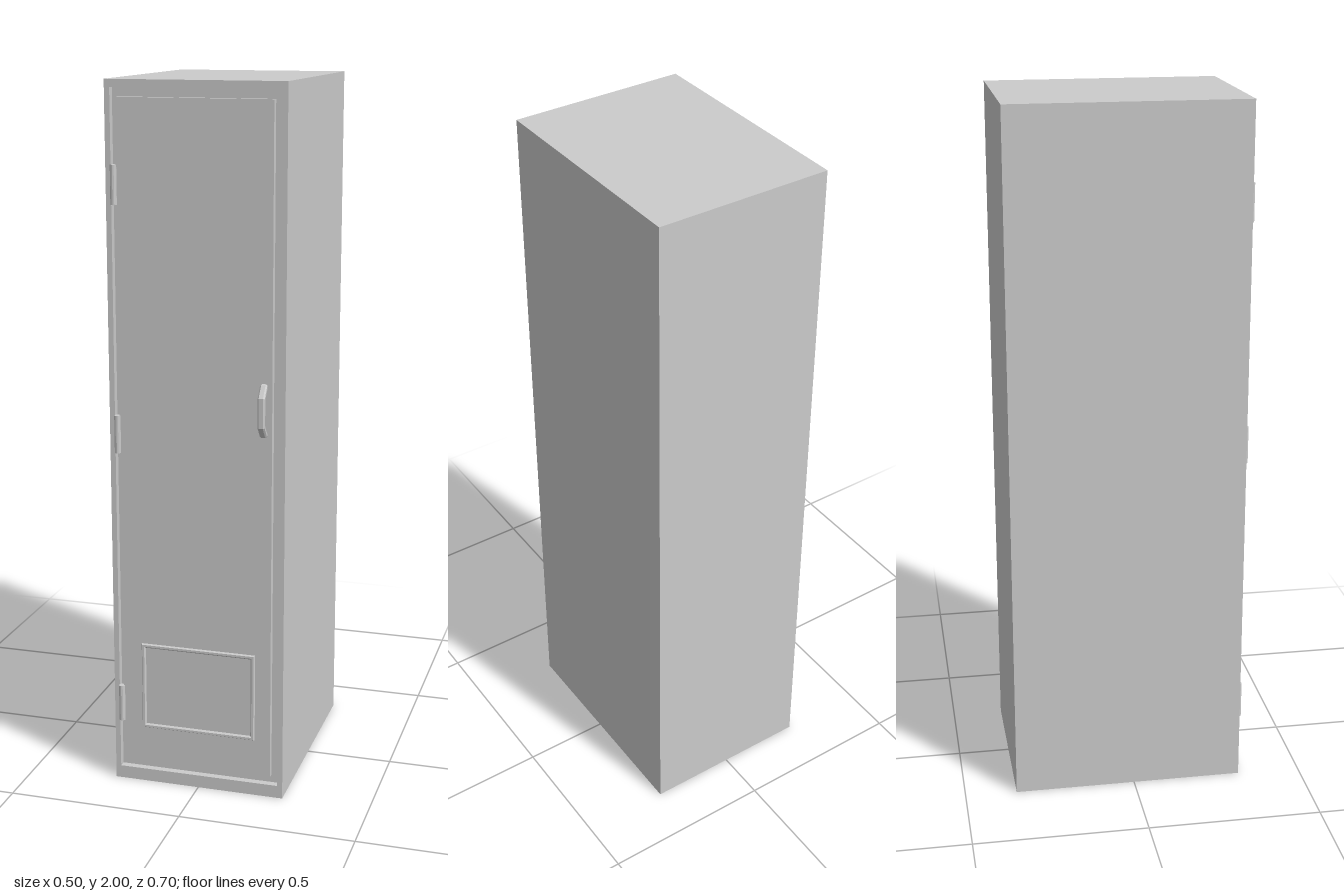
import * as THREE from 'three';

const material = new THREE.MeshStandardMaterial({ color: 0xcccccc, flatShading: true });
const FRONT = 0.317;

function part(name, geometry, parent) {
  const mesh = new THREE.Mesh(geometry, material);
  mesh.name = name;
  parent.add(mesh);
  return mesh;
}

// Joins rectangular rings [x0, x1, y0, y1, z] in order, optionally closing the ends
function rectLoft(rings, capStart, capEnd) {
  const loops = rings.map(([x0, x1, y0, y1, z]) => [[x0, y0, z], [x1, y0, z], [x1, y1, z], [x0, y1, z]]);
  const pos = [];
  const quad = (a, b, c, d) => pos.push(...a, ...b, ...c, ...a, ...c, ...d);
  for (let i = 0; i + 1 < loops.length; i++) {
    const p = loops[i], q = loops[i + 1];
    for (let k = 0; k < 4; k++) {
      const n = (k + 1) % 4;
      quad(p[k], p[n], q[n], q[k]);
    }
  }
  if (capStart) quad(...[...loops[0]].reverse());
  if (capEnd) quad(...loops[loops.length - 1]);
  const geometry = new THREE.BufferGeometry();
  geometry.setAttribute('position', new THREE.Float32BufferAttribute(pos, 3));
  geometry.computeVertexNormals();
  return geometry;
}

export function createModel() {
  const locker = new THREE.Group();
  locker.name = 'locker';

  // Cabinet shell with a shallow recess for the door
  const recess = FRONT - 0.02;
  part('cabinet', rectLoft([
    [-0.25, 0.25, 0, 2, -0.35],
    [-0.25, 0.25, 0, 2, FRONT],
    [-0.235, 0.234, 0.037, 1.979, FRONT],
    [-0.235, 0.234, 0.037, 1.979, recess],
  ], true, true), locker);

  // Door slab, leaving a narrow groove all round
  const doorFace = FRONT - 0.001;
  part('door', rectLoft([
    [-0.222, 0.213, 0.06, 1.954, recess],
    [-0.222, 0.213, 0.06, 1.954, doorFace],
  ], false, true), locker);

  // Raised bevelled frame around the lower vent panel
  const frameRing = (inset, z) => [-0.167 + inset, 0.168 - inset, 0.168 + inset, 0.426 - inset, z];
  part('ventFrame', rectLoft([
    frameRing(0, doorFace),
    frameRing(0.003, 0.321),
    frameRing(0.009, 0.321),
    frameRing(0.013, doorFace),
  ], false, false), locker);

  // Hinge barrels in the groove
  const hinges = new THREE.Group();
  hinges.name = 'hinges';
  locker.add(hinges);
  for (const y of [0.237, 1.038, 1.724]) {
    part('hinge', new THREE.CylinderGeometry(0.009, 0.009, 0.107, 12), hinges)
      .position.set(-0.228, y, FRONT);
  }

  // Angular pull handle: side profile (z, y) extruded across x with chamfered edges
  const b = 0.004;
  const profile = new THREE.Shape([
    [0.312, 1.203], [0.322, 1.201], [0.346, 1.172], [0.346, 1.092], [0.322, 1.063], [0.312, 1.061],
    [0.312, 1.069], [0.319, 1.071], [0.340, 1.096], [0.340, 1.168], [0.319, 1.193], [0.312, 1.195],
  ].map(([z, y]) => new THREE.Vector2(z, y)));
  const handle = new THREE.ExtrudeGeometry(profile, {
    depth: 0.012, bevelEnabled: true, bevelThickness: b, bevelSize: b, bevelSegments: 1,
  });
  handle.translate(0, 0, -0.006);
  handle.rotateY(-Math.PI / 2);
  part('handle', handle, locker).position.x = 0.19;

  return locker;
}
